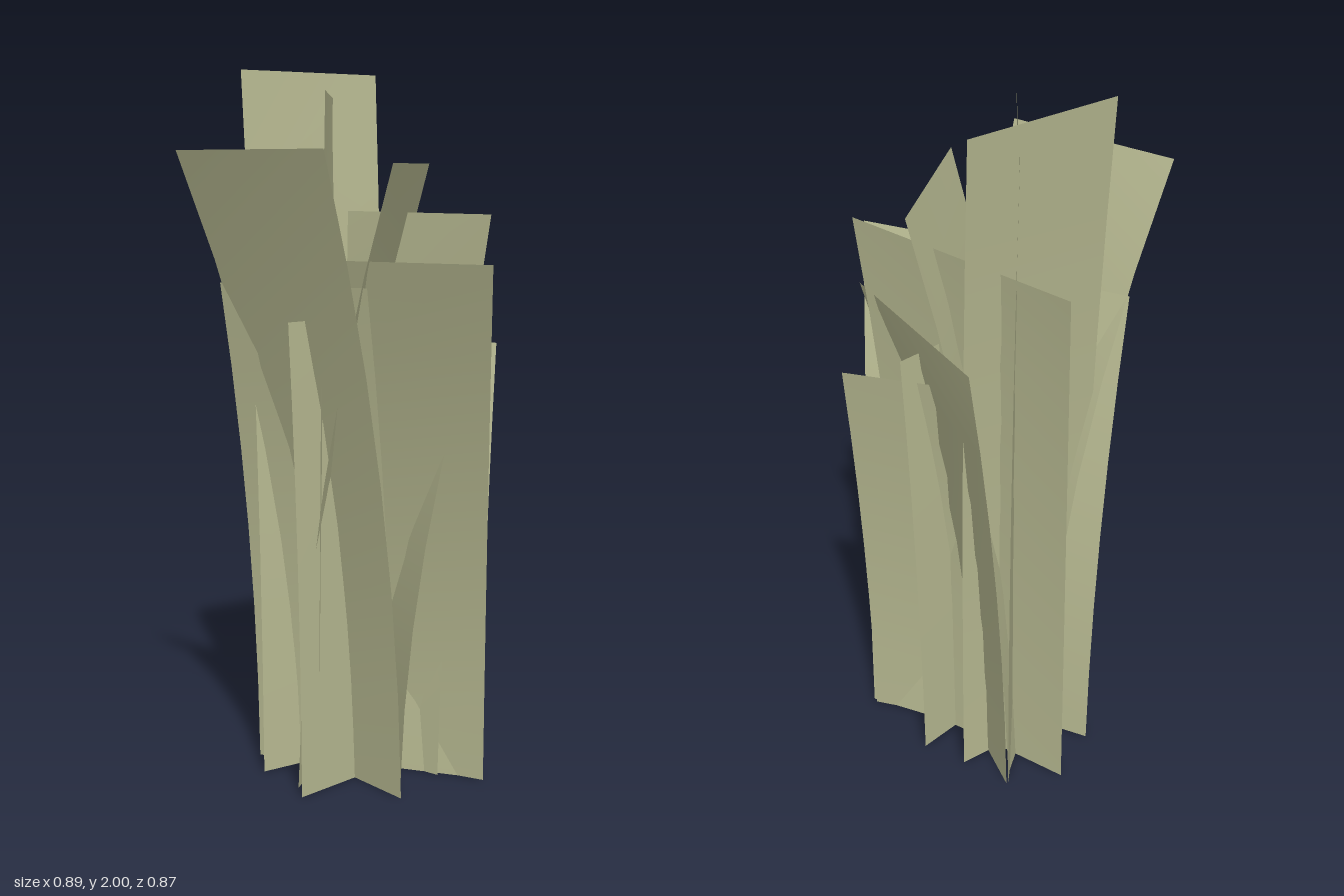
import * as THREE from 'three';

const leafMat = new THREE.MeshStandardMaterial({ color: 0xb8ba92, side: THREE.DoubleSide });
const brownMat = new THREE.MeshStandardMaterial({ color: 0x6e4634 });

// One leaf card: height, then base edge and top edge as x, z of both ends
const leaves = [
  [2.0, [-0.22, -0.04, 0.17, -0.215], [-0.26, -0.12, 0.16, -0.34]],
  [1.93, [-0.085, 0.13, 0.06, -0.33], [-0.08, 0.22, 0.045, -0.38]],
  [1.78, [-0.08, -0.15, 0.13, 0.225], [-0.45, -0.01, -0.11, 0.38]],
  [1.745, [0.05, -0.29, -0.14, 0.1], [0.285, -0.17, 0.085, 0.29]],
  [1.61, [-0.1, -0.33, 0.27, 0.07], [-0.07, -0.435, 0.375, 0.185]],
  [1.49, [0.035, -0.13, 0.39, 0.13], [-0.04, 0.17, 0.315, 0.435]],
  [1.42, [-0.215, -0.18, 0.135, 0.09], [-0.33, -0.06, 0.03, 0.225]],
  [1.4, [0.065, -0.33, 0.14, 0.165], [0.17, -0.375, 0.36, 0.22]],
  [1.33, [-0.14, 0.17, 0.27, -0.12], [-0.175, 0.19, 0.305, -0.13]],
  [1.245, [-0.07, -0.13, 0.385, 0.115], [-0.06, -0.27, 0.445, 0]],
];

// Bend a plane: straight rise, outward lean growing with height squared
function makeLeaf(height, base, top) {
  const geo = new THREE.PlaneGeometry(1, 1, 1, 6);
  const p = geo.attributes.position;
  for (let i = 0; i < p.count; i++) {
    const s = p.getX(i) + 0.5;
    const t = p.getY(i) + 0.5;
    const lean = 0.15 * t + 0.85 * t * t;
    const [x0, z0, x1, z1] = base.map((b, k) => THREE.MathUtils.lerp(b, top[k], lean));
    p.setXYZ(i, x0 + (x1 - x0) * s, height * t, z0 + (z1 - z0) * s);
  }
  geo.computeVertexNormals();
  return new THREE.Mesh(geo, leafMat);
}

export function createModel() {
  const group = new THREE.Group();
  group.name = 'reedClump';

  leaves.forEach((leaf, i) => {
    const mesh = makeLeaf(...leaf);
    mesh.name = `leaf${i + 1}`;
    group.add(mesh);
  });

  // Slim stalk carrying a brown seed head
  const stalk = new THREE.Mesh(new THREE.CylinderGeometry(0.003, 0.004, 1.24, 6), leafMat);
  stalk.name = 'stalk';
  stalk.position.set(-0.04, 0.62, -0.065);
  group.add(stalk);

  const profile = [[0, 0], [0.012, 0.03], [0.017, 0.08], [0.017, 0.17], [0.01, 0.22], [0, 0.25]];
  const head = new THREE.Mesh(
    new THREE.LatheGeometry(profile.map(([r, y]) => new THREE.Vector2(r, y)), 8), brownMat);
  head.name = 'seedHead';
  head.position.set(-0.04, 0.88, -0.065);
  group.add(head);

  return group;
}
